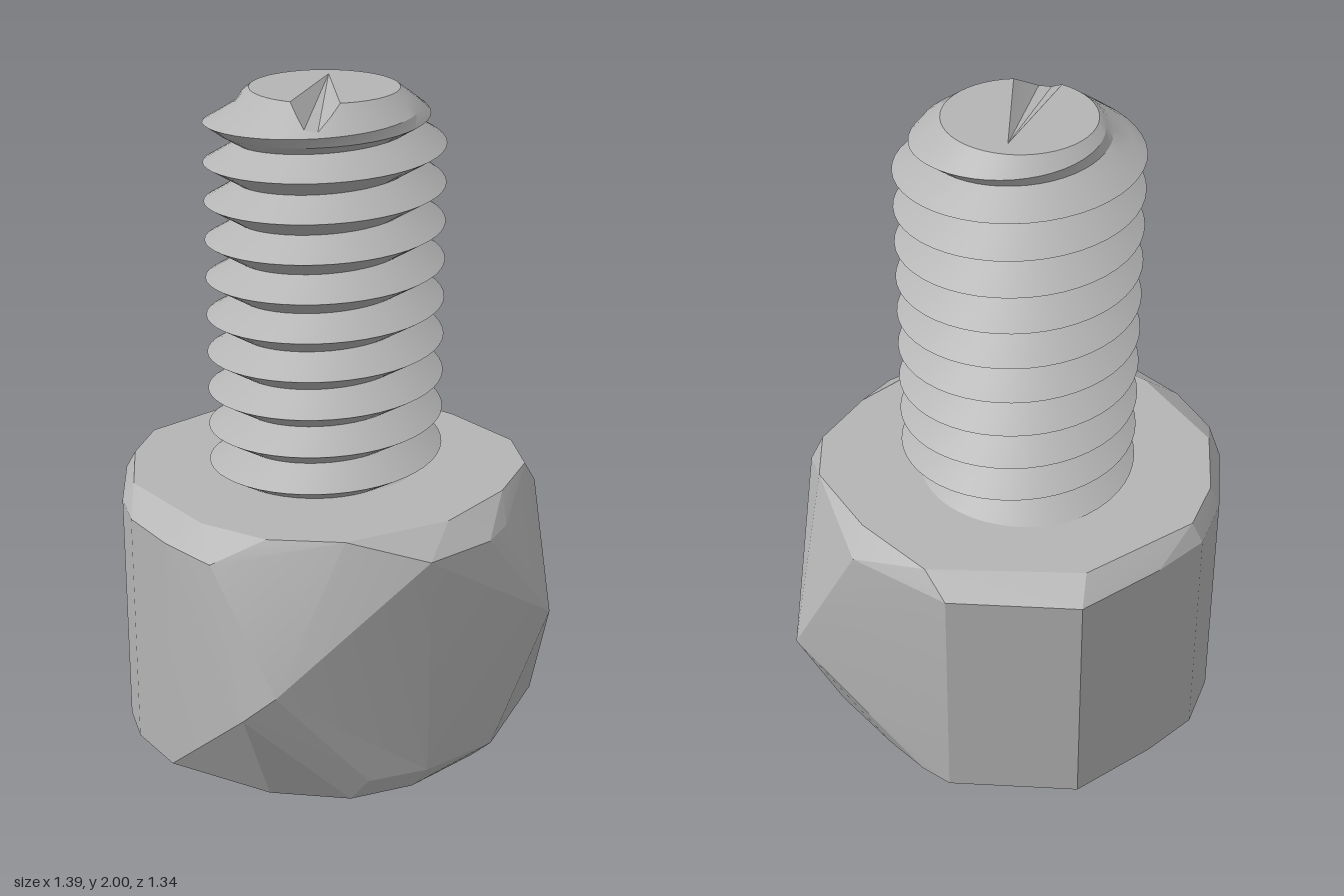
import * as THREE from 'three';
import { mergeVertices, toCreasedNormals } from 'three/addons/utils/BufferGeometryUtils.js';
import { ConvexGeometry } from 'three/addons/geometries/ConvexGeometry.js';

const AXIS = { x: -0.007, z: -0.055 };
const BASE = 0.04;

function fromTriangles(positions) {
  const g = new THREE.BufferGeometry();
  g.setAttribute('position', new THREE.Float32BufferAttribute(positions, 3));
  return g;
}

function creased(geometry, angle) {
  const g = geometry.clone();
  g.deleteAttribute('normal');
  if (g.attributes.uv) g.deleteAttribute('uv');
  return toCreasedNormals(mergeVertices(g, 1e-4), angle);
}

// Convex hull with the flat underside left open for the socket
function headShell(points) {
  const p = new ConvexGeometry(points).attributes.position;
  const kept = [];
  for (let i = 0; i < p.count; i += 3) {
    if (Math.max(p.getY(i), p.getY(i + 1), p.getY(i + 2)) < BASE + 0.01) continue;
    for (let j = i; j < i + 3; j++) kept.push(p.getX(j), p.getY(j), p.getZ(j));
  }
  return creased(fromTriangles(kept), 0.2);
}

// Helical V-thread that runs into a chamfered tip with one worn, sloping gash
function threadedShaft() {
  const pitch = 0.115, startY = 0.7075, crest = 0.35, root = 0.255;
  const segments = 48, rows = 50;
  const gash = Math.PI * 1.19;
  const tipY = a => 2 - 0.075 * Math.max(0, 1 - Math.abs(a - gash) / 0.3);
  const point = (row, seg) => {
    const a = (seg / segments) * Math.PI * 2;
    const limit = tipY(a);
    const rawY = startY + pitch * (a / (Math.PI * 2) + row / 4);
    const y = Math.min(rawY, limit);
    const cone = 0.215 + (2 - y) * 1.35;
    const wave = Math.abs((row % 4) - 2) / 2;
    const r = rawY >= limit ? Math.min(cone, 0.31) : Math.min(cone, root + (crest - root) * wave);
    return [AXIS.x + r * Math.cos(a), y, AXIS.z - r * Math.sin(a)];
  };
  const tris = [];
  for (let row = 0; row < rows; row++) {
    for (let s = 0; s < segments; s++) {
      const a = point(row, s), b = point(row, s + 1);
      const c = point(row + 1, s + 1), d = point(row + 1, s);
      tris.push(...a, ...b, ...c, ...a, ...c, ...d);
    }
  }
  // Tip face fans out from the narrow end of the gash
  const hub = [0.12, 2, -0.15];
  for (let s = 0; s < segments; s++) tris.push(...hub, ...point(rows, s), ...point(rows, s + 1));
  return creased(fromTriangles(tris), 0.4);
}

export function createModel() {
  const group = new THREE.Group();
  const metal = new THREE.MeshStandardMaterial({ color: 0xb4b4b4, side: THREE.DoubleSide });
  metal.name = 'grey metal';
  const add = (name, geometry) => {
    const mesh = new THREE.Mesh(geometry, metal);
    mesh.name = name;
    group.add(mesh);
    return mesh;
  };

  // Rough faceted head: rings are [x, z] pairs at a set height
  const bottomRing = [
    [-0.17, -0.63], [0.05, -0.64], [0.27, -0.61], [0.52, -0.35], [0.56, -0.1], [0.55, 0.15],
    [0.45, 0.32], [0.3, 0.45], [0, 0.52], [-0.25, 0.49], [-0.42, 0.4], [-0.55, 0.2],
    [-0.57, -0.08], [-0.5, -0.38], [-0.33, -0.55],
  ];
  const topRing = [
    [-0.17, -0.63], [0.21, -0.585], [0.54, -0.27], [0.55, 0], [0.5, 0.27], [0.38, 0.41],
    [0.17, 0.48], [-0.1, 0.49], [-0.4, 0.36], [-0.53, 0.18], [-0.57, -0.03], [-0.5, -0.38], [-0.33, -0.55],
  ];
  // Upright back and side walls
  const wallRing = [
    [-0.65, -0.1], [-0.6, -0.29], [-0.52, -0.41], [-0.34, -0.58], [-0.18, -0.665],
    [0, -0.67], [0.28, -0.645], [0.55, -0.37], [0.57, -0.27],
  ];
  const shoulderRing = [[0.62, -0.04], [0.42, 0.42], [0.1, 0.55], [-0.02, 0.58], [-0.24, 0.54], [-0.655, 0.08]];
  const lowerRing = [[0.35, 0.48], [0.48, 0.33], [0, 0.59], [-0.24, 0.54], [-0.4, 0.45], [-0.61, 0]];
  // Protruding corners as [x, y, z]
  const corners = [[0.69, 0.35, 0.18], [0.17, 0.51, 0.665], [-0.7, 0.36, 0.24], [-0.65, 0.44, 0.32]];
  const at = (ring, y) => ring.map(([x, z]) => new THREE.Vector3(x, y, z));
  add('head', headShell([
    ...at(bottomRing, BASE), ...at(topRing, 0.845),
    ...at(wallRing, 0.065), ...at(wallRing, 0.79),
    ...at(shoulderRing, 0.78), ...at(lowerRing, 0.11),
    ...corners.map(c => new THREE.Vector3(...c)),
  ]));

  // Underside with a hexagonal opening
  const socketRadius = 0.33, socketTurn = THREE.MathUtils.degToRad(55), socketTop = 0.46;
  const underside = new THREE.Shape(bottomRing.map(([x, z]) => new THREE.Vector2(x, z)));
  const hexagon = [];
  for (let i = 0; i < 6; i++) {
    const a = socketTurn + (i * Math.PI) / 3;
    hexagon.push(new THREE.Vector2(AXIS.x + socketRadius * Math.sin(a), AXIS.z + socketRadius * Math.cos(a)));
  }
  underside.holes.push(new THREE.Path(hexagon));
  add('underside', new THREE.ShapeGeometry(underside).rotateX(Math.PI / 2)).position.y = BASE;

  // Socket walls and ceiling
  const depth = socketTop - BASE;
  const walls = new THREE.CylinderGeometry(socketRadius, socketRadius, depth, 6, 1, true, socketTurn);
  add('socketWalls', creased(walls, 0.2)).position.set(AXIS.x, BASE + depth / 2, AXIS.z);
  add('socketCeiling', new THREE.ShapeGeometry(new THREE.Shape(hexagon)).rotateX(Math.PI / 2)).position.y = socketTop;

  // Small burrs on the lower rim
  const burr = pts => new ConvexGeometry(pts.map(p => new THREE.Vector3(...p)));
  add('leftBurr', burr([[0.36, 0.008, 0.12], [0.31, 0.045, 0.1], [0.53, 0.045, 0.15], [0.42, 0.045, 0.3], [0.48, 0.045, -0.02]]));
  add('rightBurr', burr([[-0.5, 0, -0.05], [-0.56, 0.045, -0.07], [-0.34, 0.045, -0.04], [-0.52, 0.045, 0.18], [-0.47, 0.045, -0.1]]));

  add('threadedShaft', threadedShaft());
  return group;
}
